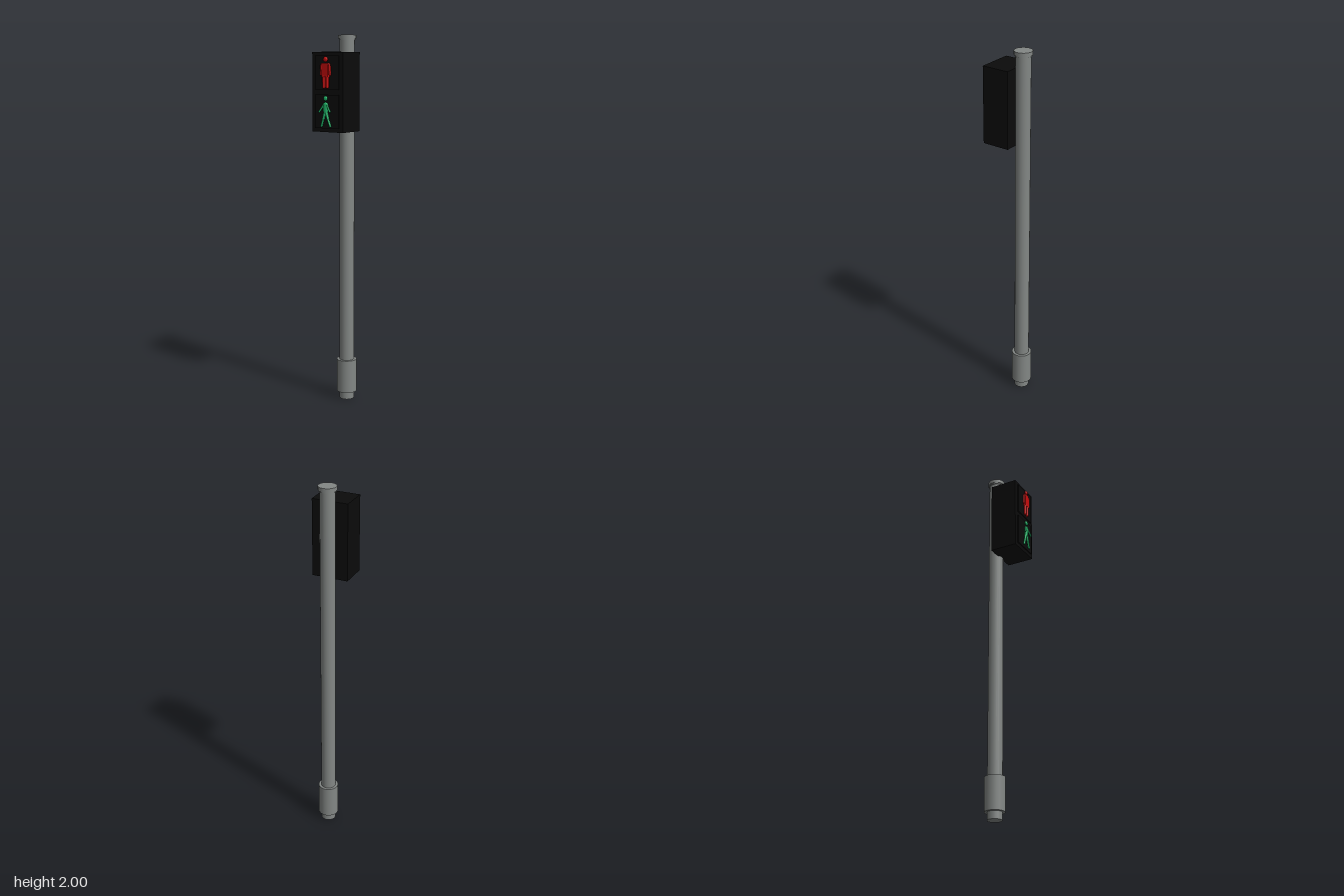
import * as THREE from 'three';

const mat = (name, color) => {
  const m = new THREE.MeshStandardMaterial({ color });
  m.name = name;
  return m;
};

export function createModel() {
  const model = new THREE.Group();
  model.name = 'pedestrianSignal';
  const grey = mat('poleGrey', 0x838785);
  const black = mat('housingBlack', 0x0b0b0b);
  const red = mat('signalRed', 0xc80c0c);
  const green = mat('signalGreen', 0x1fb96b);

  const add = (parent, name, geo, material, x, y, z) => {
    const mesh = new THREE.Mesh(geo, material);
    mesh.name = name;
    mesh.position.set(x, y, z);
    parent.add(mesh);
    return mesh;
  };

  // Pole, ground sleeve and top cap
  const poleZ = -0.08;
  const post = (name, r, y0, y1) =>
    add(model, name, new THREE.CylinderGeometry(r, r, y1 - y0, 20), grey, 0, (y0 + y1) / 2, poleZ);
  post('pole', 0.04, 0, 1.985);
  post('baseSleeve', 0.055, 0.042, 0.225);
  post('capCollar', 0.044, 1.973, 1.985);
  post('cap', 0.048, 1.98, 2);

  // Lamp housing with a thin backing plate for each lamp
  add(model, 'housing', new THREE.BoxGeometry(0.196, 0.414, 0.152), black, 0, 1.705, 0.021);
  for (const [name, y] of [['upperLampPlate', 1.806], ['lowerLampPlate', 1.605]])
    add(model, name, new THREE.BoxGeometry(0.15, 0.175, 0.006), black, 0, y, 0.102);

  // Rounded limb running between two points in the figure's plane
  const limb = (parent, name, material, a, b, r, za = 0, zb = 0) => {
    const p = new THREE.Vector3(a[0], a[1], za);
    const q = new THREE.Vector3(b[0], b[1], zb);
    const dir = q.clone().sub(p);
    const mid = p.add(q).multiplyScalar(0.5);
    const mesh = add(parent, name, new THREE.CapsuleGeometry(r, dir.length(), 4, 10), material, mid.x, mid.y, mid.z);
    mesh.quaternion.setFromUnitVectors(new THREE.Vector3(0, 1, 0), dir.normalize());
  };
  const head = (parent, material, x, y, r) => {
    add(parent, 'head', new THREE.SphereGeometry(r, 16, 10), material, x, y, 0).scale.z = 0.6;
  };

  // Standing figure
  const stand = new THREE.Group();
  stand.name = 'standingFigure';
  stand.position.z = 0.114;
  model.add(stand);
  head(stand, red, 0, 1.874, 0.014);
  add(stand, 'torso', new THREE.BoxGeometry(0.038, 0.072, 0.014), red, 0, 1.82, 0);
  limb(stand, 'shoulders', red, [-0.02, 1.849], [0.02, 1.849], 0.007);
  for (const s of [-1, 1]) {
    limb(stand, 'arm', red, [s * 0.026, 1.846], [s * 0.028, 1.796], 0.006);
    limb(stand, 'leg', red, [s * 0.011, 1.79], [s * 0.011, 1.732], 0.008);
  }

  // Walking figure
  const walk = new THREE.Group();
  walk.name = 'walkingFigure';
  walk.position.z = 0.114;
  model.add(walk);
  head(walk, green, 0, 1.674, 0.013);
  add(walk, 'torso', new THREE.CapsuleGeometry(0.014, 0.034, 4, 12), green, 0, 1.624, 0).scale.z = 0.6;
  limb(walk, 'frontUpperArm', green, [-0.01, 1.644], [-0.022, 1.622], 0.005, 0, 0.006);
  limb(walk, 'frontForearm', green, [-0.022, 1.622], [-0.033, 1.604], 0.005, 0.006, 0.011);
  limb(walk, 'rearUpperArm', green, [0.01, 1.644], [0.022, 1.622], 0.005, 0, 0.006);
  limb(walk, 'rearForearm', green, [0.022, 1.622], [0.034, 1.606], 0.005, 0.006, 0.009);
  limb(walk, 'frontThigh', green, [-0.005, 1.602], [-0.014, 1.568], 0.007);
  limb(walk, 'frontShin', green, [-0.014, 1.568], [-0.026, 1.53], 0.006);
  limb(walk, 'rearThigh', green, [0.005, 1.602], [0.015, 1.568], 0.007);
  limb(walk, 'rearShin', green, [0.015, 1.568], [0.03, 1.53], 0.006);

  return model;
}
